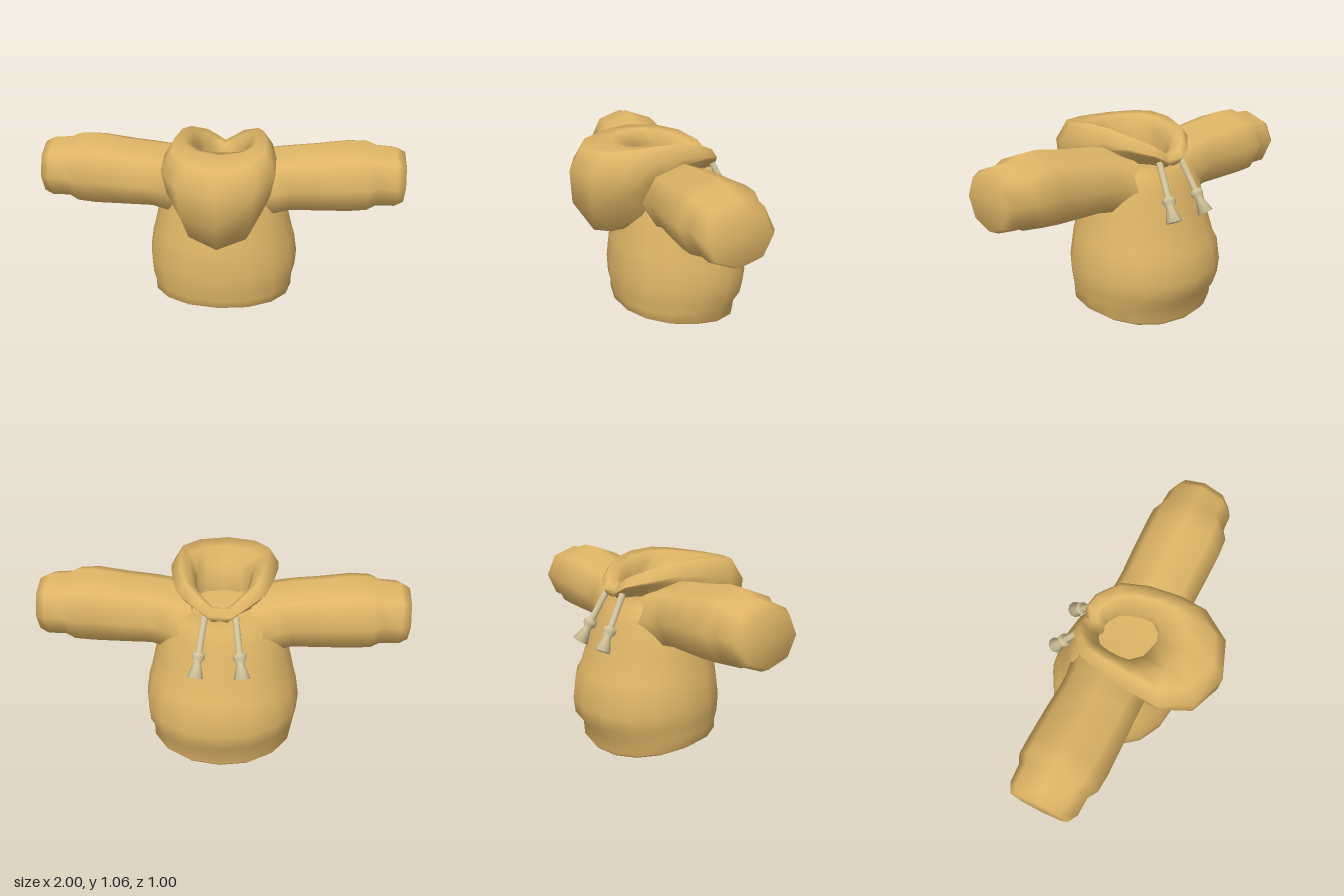
import * as THREE from 'three';

const fabric = new THREE.MeshStandardMaterial({ color: 0xdfb566 });
fabric.name = 'goldenFabric';
const cord = new THREE.MeshStandardMaterial({ color: 0xd3c49a });
cord.name = 'paleCord';

// Skin a list of closed rings; caps get their own vertices so their edge stays crisp
function loft(rings, capped) {
  const n = rings[0].length, pos = rings.flat(2), idx = [];
  for (let i = 0; i < rings.length - 1; i++) {
    for (let j = 0; j < n; j++) {
      const a = i * n + j, b = i * n + (j + 1) % n;
      idx.push(a, b, b + n, a, b + n, a + n);
    }
  }
  const cap = (ring, flip) => {
    const start = pos.length / 3;
    const mid = [0, 1, 2].map((k) => ring.reduce((s, p) => s + p[k], 0) / n);
    pos.push(...ring.flat(), ...mid);
    for (let j = 0; j < n; j++) {
      const a = start + j, b = start + (j + 1) % n;
      if (flip) idx.push(b, a, start + n);
      else idx.push(a, b, start + n);
    }
  };
  if (capped) {
    cap(rings[0], true);
    cap(rings[rings.length - 1], false);
  }
  const g = new THREE.BufferGeometry();
  g.setAttribute('position', new THREE.Float32BufferAttribute(pos, 3));
  g.setIndex(idx);
  g.computeVertexNormals();
  return g;
}

function add(group, name, geometry, material) {
  const mesh = new THREE.Mesh(geometry, material);
  mesh.name = name;
  group.add(mesh);
  return mesh;
}

// Rounded torso ring, tilted between its +z and -z ends and lifted a little at the sides
function torsoRing([yPlus, yMinus, halfWidth, zPlus, zMinus]) {
  const soft = (v) => Math.sign(v) * Math.abs(v) ** 0.92;
  return Array.from({ length: 16 }, (_, i) => {
    const a = (i / 16) * Math.PI * 2;
    const t = (soft(Math.cos(a)) + 1) / 2;
    return [
      halfWidth * soft(Math.sin(a)),
      yMinus + (yPlus - yMinus) * t + 0.06 * t * (1 - t),
      zMinus + (zPlus - zMinus) * t,
    ];
  });
}

// Eight-sided sleeve ring
function sleeveRing([x, top, bottom, zPlus, zMinus], side) {
  return Array.from({ length: 8 }, (_, i) => {
    const a = (side * i * Math.PI) / 4;
    return [
      side * x,
      (top + bottom) / 2 + ((top - bottom) / 2) * Math.cos(a),
      (zPlus + zMinus) / 2 + ((zPlus - zMinus) / 2) * Math.sin(a),
    ];
  });
}

// Hood plan from +z to -z as fractions of half width and length, notched at the -z end
const planX = [0, 0.66, 1, 1, 0.92, 0.78, 0.43, 0.2, 0];
const planZ = [1, 0.915, 0.72, 0.54, 0.33, 0.15, 0.03, 0, 0.045];

// Hood ring: the height is a smooth wave through its +z end, side and -z end
function hoodRing([halfWidth, zPlus, zMinus, yPlus, ySide, yMinus]) {
  const ends = (yPlus + yMinus) / 2;
  const half = planX.map((x, k) => {
    const a = (k * Math.PI) / 8;
    return [
      x * halfWidth,
      (ends + ySide) / 2 + ((yPlus - yMinus) / 2) * Math.cos(a) + ((ends - ySide) / 2) * Math.cos(2 * a),
      zMinus + (zPlus - zMinus) * planZ[k],
    ];
  });
  const mirrored = half.slice(1, -1).reverse().map(([x, y, z]) => [-x, y, z]);
  return [...half, ...mirrored];
}

export function createModel() {
  const model = new THREE.Group();
  model.name = 'hoodedTop';

  // Torso with a turned-in hem and a sunken neck floor: yPlus, yMinus, halfWidth, zPlus, zMinus
  const torso = [
    [0.08, 0.0, 0.38, 0.24, -0.42],
    [0.1, 0.02, 0.41, 0.27, -0.435],
    [0.14, 0.1, 0.41, 0.27, -0.44],
    [0.2, 0.165, 0.428, 0.285, -0.49],
    [0.3, 0.25, 0.435, 0.29, -0.5],
    [0.4, 0.38, 0.418, 0.28, -0.485],
    [0.46, 0.425, 0.403, 0.273, -0.455],
    [0.58, 0.58, 0.37, 0.245, -0.405],
    [0.72, 0.72, 0.345, 0.215, -0.36],
    [0.86, 0.82, 0.29, 0.185, -0.325],
    [0.91, 0.86, 0.2, 0.15, -0.285],
    [0.83, 0.79, 0.17, 0.12, -0.23],
  ];
  add(model, 'torso', loft(torso.map(torsoRing), true), fabric);

  // Sleeves with cuffs and a softly closed end: x, top, bottom, zPlus, zMinus
  const sleeve = [
    [0.16, 0.93, 0.53, 0.17, -0.3],
    [0.3, 0.965, 0.58, 0.176, -0.27],
    [0.38, 0.975, 0.608, 0.178, -0.265],
    [0.52, 0.99, 0.61, 0.182, -0.272],
    [0.7, 1.018, 0.61, 0.185, -0.275],
    [0.8, 1.015, 0.62, 0.178, -0.275],
    [0.85, 0.992, 0.645, 0.145, -0.25],
    [0.95, 0.985, 0.645, 0.14, -0.245],
    [1.0, 0.958, 0.668, 0.11, -0.215],
    [1.0, 0.813, 0.813, -0.052, -0.052],
  ];
  for (const side of [1, -1]) {
    add(model, side > 0 ? 'leftSleeve' : 'rightSleeve',
      loft(sleeve.map((r) => sleeveRing(r, side)), false), fabric);
  }

  // Lowered hood, from the pouch over the rolled rim and down the inner wall:
  // halfWidth, zPlus, zMinus, yPlus, ySide, yMinus
  const hood = [
    [0.18, 0.22, -0.26, 0.56, 0.84, 0.83],
    [0.2, 0.3, -0.3, 0.54, 0.87, 0.84],
    [0.235, 0.38, -0.32, 0.54, 0.89, 0.855],
    [0.275, 0.495, -0.325, 0.715, 0.94, 0.87],
    [0.3, 0.505, -0.325, 0.895, 0.985, 0.88],
    [0.245, 0.44, -0.3, 1.015, 1.055, 0.915],
    [0.19, 0.27, -0.25, 1.035, 1.03, 0.9],
    [0.145, 0.12, -0.2, 0.99, 0.94, 0.87],
    [0.155, 0.12, -0.21, 0.8, 0.78, 0.76],
  ];
  add(model, 'hood', loft(hood.map(hoodRing), false), fabric);

  // Drawstrings: cord, knot and flared end in one turned profile (radius, length)
  const profile = [
    [0, 0], [0.018, 0], [0.018, 0.19], [0.036, 0.197], [0.036, 0.222],
    [0.02, 0.245], [0.045, 0.327], [0, 0.327],
  ].map(([r, y]) => new THREE.Vector2(r, y));
  for (const side of [1, -1]) {
    const start = new THREE.Vector3(side * 0.08, 0.885, -0.29);
    const end = new THREE.Vector3(side * 0.122, 0.607, -0.442);
    const string = add(model, side > 0 ? 'leftDrawstring' : 'rightDrawstring',
      new THREE.LatheGeometry(profile, 10), cord);
    string.position.copy(start);
    string.quaternion.setFromUnitVectors(new THREE.Vector3(0, 1, 0), end.sub(start).normalize());
  }

  return model;
}
